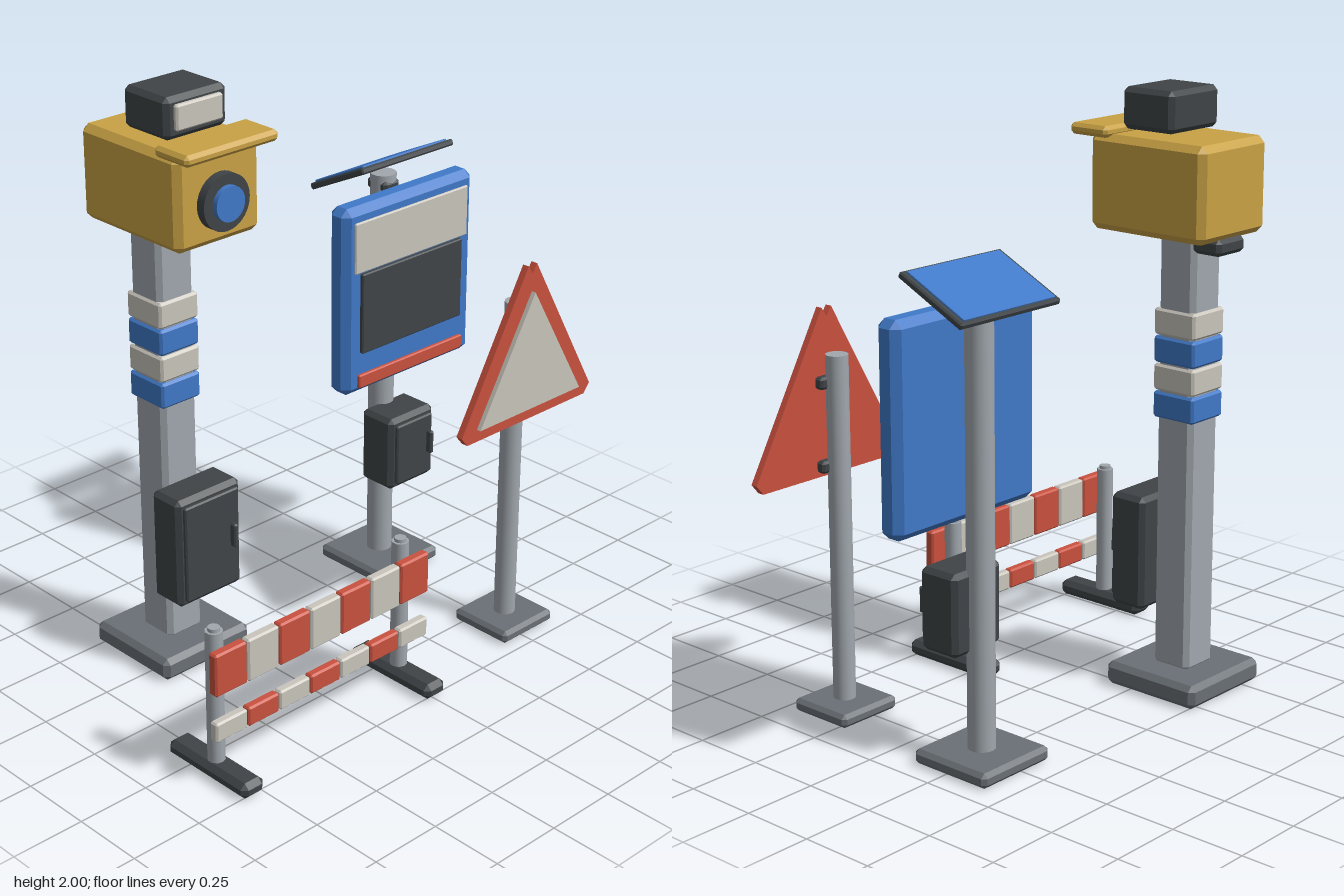
import * as THREE from 'three';
import { ConvexGeometry } from 'three/addons/geometries/ConvexGeometry.js';

const mat = (name, color) => {
  const m = new THREE.MeshStandardMaterial({ color });
  m.name = name;
  return m;
};

export function createModel() {
  const root = new THREE.Group();
  root.name = 'roadsideEquipment';
  const steel = mat('steel grey', 0xa0a7ad);
  const baseGrey = mat('base grey', 0x6a7075);
  const dark = mat('charcoal', 0x3f4447);
  const yellow = mat('housing yellow', 0xc9a245);
  const blue = mat('sign blue', 0x4079c8);
  const red = mat('warning red', 0xc9513e);
  const white = mat('off white', 0xc9c5bc);

  const group = (name) => {
    const g = new THREE.Group();
    g.name = name;
    root.add(g);
    return g;
  };
  const add = (parent, name, geo, material, x = 0, y = 0, z = 0) => {
    const m = new THREE.Mesh(geo, material);
    m.name = name;
    m.position.set(x, y, z);
    parent.add(m);
    return m;
  };

  // Box with chamfered edges, given by its [min, max] on each axis
  const box = (parent, name, material, [x0, x1], [y0, y1], [z0, z1], c = 0.01) => {
    const h = [(x1 - x0) / 2, (y1 - y0) / 2, (z1 - z0) / 2];
    const pts = [];
    for (const sx of [-1, 1]) for (const sy of [-1, 1]) for (const sz of [-1, 1]) {
      for (let axis = 0; axis < 3; axis++) {
        const e = h.map((v, i) => (i === axis ? v : v - c));
        pts.push(new THREE.Vector3(sx * e[0], sy * e[1], sz * e[2]));
      }
    }
    return add(parent, name, new ConvexGeometry(pts), material,
      (x0 + x1) / 2, (y0 + y1) / 2, (z0 + z1) / 2);
  };
  // Upright round tube
  const pole = (parent, name, material, r, x, y0, y1, z, sides = 14) =>
    add(parent, name, new THREE.CylinderGeometry(r, r, y1 - y0, sides), material, x, (y0 + y1) / 2, z);
  const span = (c, w) => [c - w / 2, c + w / 2];

  // ---- Camera tower ----
  const tower = group('cameraTower');
  const tx = -0.39, tz = -0.337;
  box(tower, 'towerBase', baseGrey, span(tx, 0.37), [0, 0.08], span(tz, 0.37), 0.018);
  box(tower, 'towerPost', steel, span(tx, 0.145), [0.07, 1.56], span(tz, 0.145), 0.016);
  for (let i = 0; i < 4; i++) {
    const y = 0.93 + i * 0.0925;
    box(tower, 'postBand', i % 2 ? white : blue, span(tx, 0.16), [y, y + 0.088], span(tz, 0.165), 0.008);
  }
  box(tower, 'housing', yellow, span(tx, 0.337), [1.54, 1.85], [-0.51, -0.05], 0.022);
  box(tower, 'visor', yellow, span(tx, 0.37), [1.84, 1.877], [-0.135, 0.018], 0.012);
  box(tower, 'rearBracket', dark, span(tx, 0.14), [1.49, 1.545], [-0.505, -0.39], 0.014);
  const disc = (name, material, r, z0, z1) => {
    const m = add(tower, name, new THREE.CylinderGeometry(r, r, z1 - z0, 28), material, tx, 1.68, (z0 + z1) / 2);
    m.rotation.x = Math.PI / 2;
  };
  disc('lensRing', dark, 0.092, -0.06, -0.018);
  disc('lens', blue, 0.057, -0.03, 0.0);
  box(tower, 'flashUnit', dark, span(tx, 0.245), [1.866, 2.0], [-0.35, -0.145], 0.016);
  box(tower, 'flashWindow', white, span(tx, 0.185), [1.895, 1.978], [-0.155, -0.13], 0.006);

  // Cabinet with raised door and handle
  const cabinet = (parent, x, w, y, h, z0, z1) => {
    box(parent, 'cabinet', dark, span(x, w), span(y, h), [z0, z1], 0.016);
    box(parent, 'cabinetDoor', dark, span(x, w - 0.042), span(y, h - 0.045), [z1 - 0.01, z1 + 0.013], 0.005);
    box(parent, 'doorHandle', dark, span(x + w * 0.31, 0.018), span(y + 0.01, 0.085), [z1 + 0.008, z1 + 0.034], 0.005);
  };
  cabinet(tower, tx, 0.27, 0.465, 0.39, -0.265, -0.13);

  // ---- Display sign ----
  const sign = group('displaySign');
  const sx = 0.529, sz = -0.27;
  box(sign, 'signBase', baseGrey, span(sx, 0.302), [0, 0.05], span(sz, 0.302), 0.014);
  pole(sign, 'signPole', steel, 0.045, sx, 0.04, 1.48, sz);
  box(sign, 'signPanel', blue, span(sx, 0.61), [0.78, 1.45], [-0.228, -0.135], 0.025);
  box(sign, 'headerPlate', white, span(sx, 0.534), [1.222, 1.402], [-0.14, -0.127], 0.004);
  box(sign, 'screen', dark, span(sx, 0.477), [0.93, 1.218], [-0.14, -0.121], 0.004);
  box(sign, 'warningStrip', red, span(sx, 0.5), [0.805, 0.853], [-0.14, -0.123], 0.004);
  cabinet(sign, sx, 0.213, 0.5, 0.27, -0.262, -0.113);
  box(sign, 'panelMount', dark, span(sx, 0.075), [1.42, 1.462], span(sz, 0.094), 0.012);

  // Tilted solar panel
  const solar = new THREE.Group();
  solar.name = 'solarPanel';
  solar.position.set(sx, 1.508, -0.277);
  solar.rotation.x = -0.45;
  sign.add(solar);
  box(solar, 'solarFrame', dark, span(0, 0.43), [-0.013, 0.009], span(0, 0.275), 0.005);
  box(solar, 'solarCells', blue, span(0, 0.395), [0.006, 0.015], span(0, 0.25), 0.002);

  // ---- Warning triangle ----
  const warning = group('warningTriangle');
  const wx = 0.527, wz = 0.342;
  box(warning, 'warningBase', baseGrey, span(wx, 0.242), [0, 0.045], span(wz - 0.004, 0.238), 0.013);
  pole(warning, 'warningPole', steel, 0.037, wx, 0.035, 1.2, wz);
  const plate = (name, material, pts, z0, z1) => {
    const shape = new THREE.Shape(pts.map(([x, y]) => new THREE.Vector2(x, y)));
    add(warning, name, new THREE.ExtrudeGeometry(shape, { depth: z1 - z0, bevelEnabled: false }), material, wx, 0, z0);
  };
  plate('triangleBorder', red, [[-0.285, 0.797], [0.285, 0.797], [0.312, 0.83],
    [0.02, 1.345], [0, 1.315], [-0.02, 1.345], [-0.312, 0.83]], 0.384, 0.408);
  plate('triangleFace', white, [[-0.242, 0.841], [0.242, 0.841], [0, 1.254]], 0.406, 0.424);
  for (const y of [0.835, 1.11]) {
    box(warning, 'clamp', dark, span(wx, 0.12), span(y, 0.04), [0.35, 0.386], 0.008);
  }

  // ---- Barrier ----
  const barrier = group('barrier');
  for (const x of [-0.79, 0.008]) {
    box(barrier, 'barrierFoot', dark, span(x, 0.09), [0, 0.055], span(0.338, 0.364), 0.018);
    pole(barrier, 'barrierPost', steel, 0.029, x, 0.045, 0.515, wz, 10);
    pole(barrier, 'postCap', steel, 0.02, x, 0.51, 0.527, wz, 10);
  }
  for (let i = 0; i < 7; i++) {
    const xs = span(-0.392 + (i - 3) * 0.1313, 0.128);
    box(barrier, 'upperBoard', i % 2 ? white : red, xs, [0.333, 0.48], [0.383, 0.418], 0.006);
    box(barrier, 'lowerBoard', i % 2 ? red : white, xs, [0.17, 0.238], [0.383, 0.416], 0.006);
  }
  return root;
}
